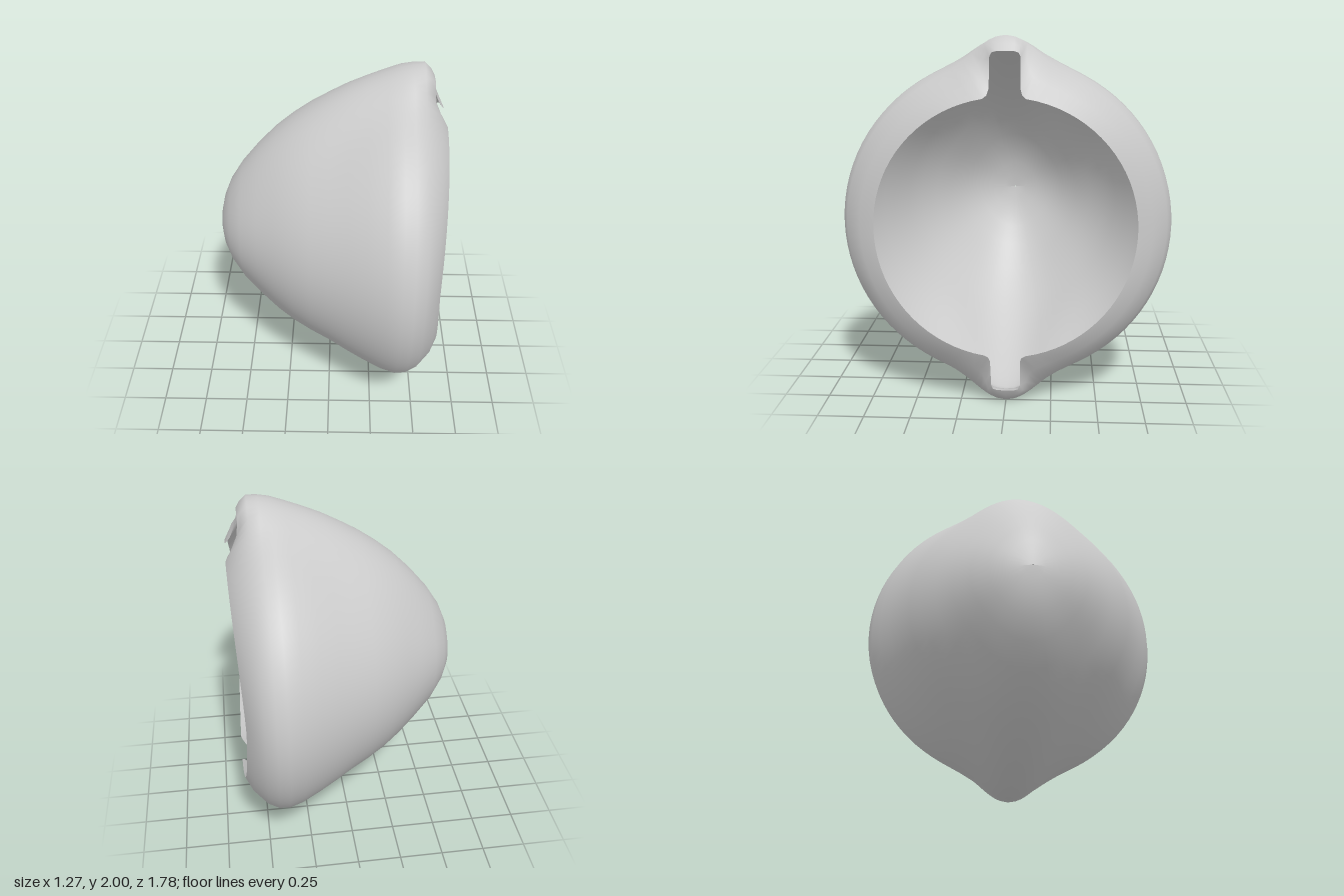
import * as THREE from 'three';
import { toCreasedNormals } from 'three/addons/utils/BufferGeometryUtils.js';

const lerp = THREE.MathUtils.lerp;

// Outer profile: x, side radius, radius at the top and bottom ridges
const PROFILE = [
  [-0.64, 0.004, 0.004], [-0.63, 0.07, 0.08], [-0.61, 0.15, 0.17], [-0.57, 0.23, 0.27],
  [-0.5, 0.32, 0.38], [-0.4, 0.41, 0.5], [-0.3, 0.5, 0.6], [-0.2, 0.58, 0.68],
  [-0.1, 0.645, 0.75], [0, 0.7, 0.81], [0.1, 0.76, 0.865], [0.2, 0.815, 0.91],
  [0.3, 0.865, 0.95], [0.38, 0.89, 0.98], [0.44, 0.885, 0.993], [0.5, 0.855, 1.0],
];
const WALL_SCALE = 0.965; // inside of the thin wall, relative to the outside
const MOUTH_RADIUS = 0.695;
const SLOT_FLOOR = 0.92;

// One quarter of a ring, from the ridge to the side: dome angle, mouth angle,
// and for the slot points its half width and depth fraction
const QUARTER = [
  [0, 0, 1], [0.05, 0.045, 1], [0.085, 0.069, 0.97], [0.115, 0.08, 0.87],
  [0.15, 0.08, 0.55], [0.19, 0.081, 0.2], [0.22, 0.09, 0.07],
].map(([dome, width, depth]) => ({ dome, mouth: 0.16, width, depth }));
const ARC_STEPS = 18;
for (let i = 0; i <= ARC_STEPS; i++) {
  const t = i / ARC_STEPS;
  QUARTER.push({
    dome: lerp(0.25, Math.PI / 2, t),
    mouth: lerp(0.16, Math.PI / 2, t),
    width: MOUTH_RADIUS * Math.sin(lerp(0.16, Math.PI / 2, t)),
    depth: 0,
  });
}

// Ring points as [x, up, side]; the ridge narrows towards the mouth
function domePoint([x, r, tip], q) {
  const spread = lerp(0.55, 0.22, THREE.MathUtils.smoothstep(x, -0.5, 0.4));
  const radius = r + (tip - r) * Math.exp(-((q.dome / spread) ** 2));
  return [x, radius * Math.cos(q.dome), radius * Math.sin(q.dome)];
}

// Wavy mouth edge, set back where the slots cut into the ridges
function mouthPoint(q) {
  const x = 0.59 + 0.042 * Math.cos(q.mouth) ** 1.5 - 0.18 * q.depth + 0.105 * q.depth ** 2;
  return [x, lerp(MOUTH_RADIUS * Math.cos(q.mouth), SLOT_FLOOR, q.depth), q.width];
}

// Slightly domed lip between the shell and the mouth edge
function lipPoint(q) {
  const a = domePoint(PROFILE[PROFILE.length - 1], q);
  const b = mouthPoint(q);
  return [lerp(a[0], b[0], 0.65), lerp(a[1], b[1], 0.5), lerp(a[2], b[2], 0.5)];
}

// Mirror a quarter into a full ring running from +y through +z
function fullRing(pointAt) {
  const quarter = QUARTER.map(pointAt);
  const half = [
    ...quarter,
    ...quarter.slice(0, -1).reverse().map(([x, y, z]) => [x, -y, z]),
  ];
  return [...half, ...half.slice(1, -1).reverse().map(([x, y, z]) => [x, y, -z])];
}

function skinRings(rings) {
  const n = rings[0].length;
  const positions = [];
  const index = [];
  for (const ring of rings) for (const [x, y, z] of ring) positions.push(x, y + 1, z);
  for (let k = 0; k < rings.length - 1; k++) {
    for (let i = 0; i < n; i++) {
      const j = (i + 1) % n;
      const a = k * n + i, b = k * n + j, c = a + n, d = b + n;
      index.push(a, b, c, b, d, c);
    }
  }
  const geometry = new THREE.BufferGeometry();
  geometry.setAttribute('position', new THREE.Float32BufferAttribute(positions, 3));
  geometry.setIndex(index);
  return toCreasedNormals(geometry, 1.1);
}

export function createModel() {
  const group = new THREE.Group();
  group.name = 'hollowHalfShell';

  // Outside of the dome and lip, the mouth edge, then back along the inside
  const outside = [
    ...PROFILE.map((s) => fullRing((q) => domePoint(s, q))),
    fullRing(lipPoint),
  ];
  const inside = outside
    .map((ring) => ring.map((p) => p.map((v) => v * WALL_SCALE)))
    .reverse();
  const shell = new THREE.Mesh(
    skinRings([...outside, fullRing(mouthPoint), ...inside]),
    new THREE.MeshStandardMaterial({ color: 0xcccccc }),
  );
  shell.name = 'shell';
  group.add(shell);
  return group;
}
